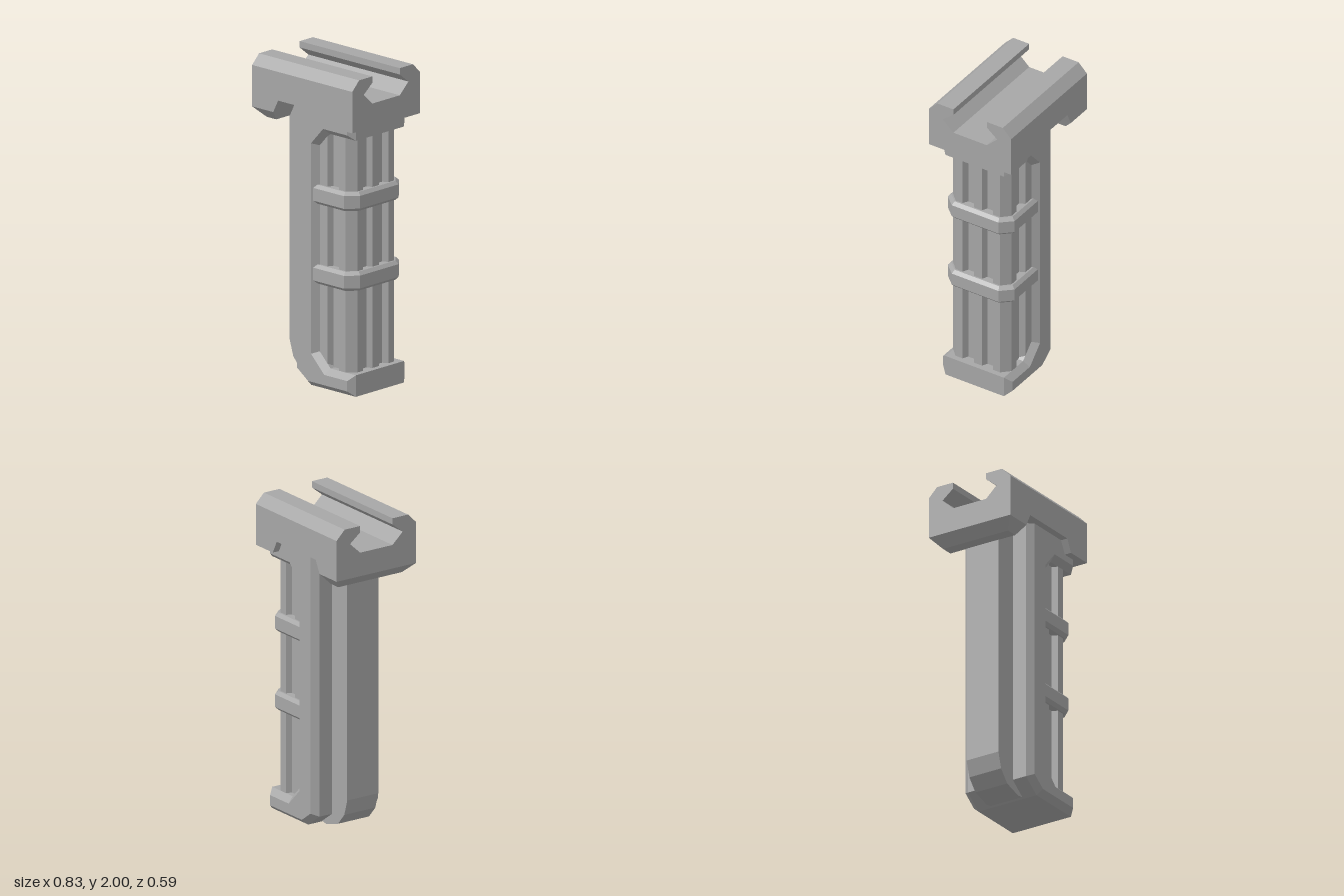
import * as THREE from 'three';

const grey = new THREE.MeshStandardMaterial({ color: 0xa6a6a6 });
grey.name = 'matte grey';

const toShape = pts => new THREE.Shape(pts.map(p => new THREE.Vector2(p[0], p[1])));

// Mirrors a half outline across the x or y axis into a closed one
const mirrored = (half, sx, sy) =>
  [...half, ...half.slice().reverse().map(([x, y]) => [x * sx, y * sy])];

// Extrudes an outline, centred on its depth, with an optional one-step bevel
function prism(pts, depth, bevelSize = 0, bevelThickness = 0) {
  const geo = new THREE.ExtrudeGeometry(toShape(pts), {
    depth: depth - 2 * bevelThickness, bevelEnabled: bevelSize > 0,
    bevelSize, bevelThickness, bevelSegments: 1, steps: 1,
  });
  return geo.translate(0, 0, -depth / 2 + bevelThickness);
}

export function createModel() {
  const group = new THREE.Group();
  const add = (name, geo) => {
    const mesh = new THREE.Mesh(geo, grey);
    mesh.name = name;
    group.add(mesh);
    return mesh;
  };

  // Rail clamp with an undercut channel, running along x
  const railHalf = [
    [0.295, 1.76], [0.295, 1.94], [0.235, 2], [0.12, 2],
    [0.12, 1.96], [0.195, 1.9], [0.12, 1.83],
  ];
  add('railClamp', prism(mirrored(railHalf, -1, 1), 0.83).rotateY(Math.PI / 2));

  // Lower ends of the clamp, leaving a trapezoid notch between them
  for (const s of [-1, 1]) {
    const end = [[0.415, 1.68], [0.415, 1.76], [0.2, 1.76], [0.24, 1.68]];
    add(s < 0 ? 'rearClampFoot' : 'frontClampFoot', prism(end.map(([x, y]) => [s * x, y]), 0.59));
  }

  // Tapered collar below the rear foot: a box with its lower corners drawn in
  const collar = new THREE.BoxGeometry(1, 1, 1).toNonIndexed();
  const pos = collar.attributes.position;
  for (let i = 0; i < pos.count; i++) {
    const low = pos.getY(i) < 0;
    const rear = pos.getX(i) < 0;
    pos.setXYZ(i,
      rear ? (low ? -0.35 : -0.415) : (low ? -0.272 : -0.24),
      low ? 1.615 : 1.68,
      Math.sign(pos.getZ(i)) * (low ? 0.235 : 0.295));
  }
  collar.computeVertexNormals();
  add('rearCollar', collar);

  // Narrow spine with a rounded heel
  add('spine', prism([
    [-0.275, 1.78], [-0.275, 0.21], [-0.245, 0.11], [-0.18, 0.035],
    [-0.06, 0], [0, 0.01], [0, 1.78],
  ], 0.23));

  // C-shaped frame with bevelled edges
  add('gripFrame', prism([
    [-0.085, 1.77], [-0.085, 0.1], [0.005, 0.035], [0.33, 0.035], [0.33, 0.1],
    [0.14, 0.1], [0.03, 0.21], [0.03, 1.53], [0.13, 1.64], [0.33, 1.64], [0.33, 1.77],
  ], 0.5, 0.035, 0.04));

  // Fluted core inside the frame
  const coreHalf = [
    [0, 0.21], [0.13, 0.21], [0.145, 0.175], [0.21, 0.175], [0.225, 0.21], [0.28, 0.21],
    [0.33, 0.16], [0.33, 0.11], [0.295, 0.092], [0.295, 0.046], [0.33, 0.029],
  ];
  add('flutedCore', prism(mirrored(coreHalf, 1, -1), 1.56)
    .rotateX(-Math.PI / 2).translate(0, 0.87, 0));

  // Two raised bands around the core
  const bandHalf = [[0.055, 0.22], [0.285, 0.22], [0.34, 0.16]];
  for (const [name, y] of [['upperBand', 1.21], ['lowerBand', 0.71]]) {
    add(name, prism(mirrored(bandHalf, 1, -1), 0.12, 0.02, 0.02)
      .rotateX(-Math.PI / 2)).position.y = y;
  }

  // The bevel steps leave a central band on each face; square it off
  return group;
}
